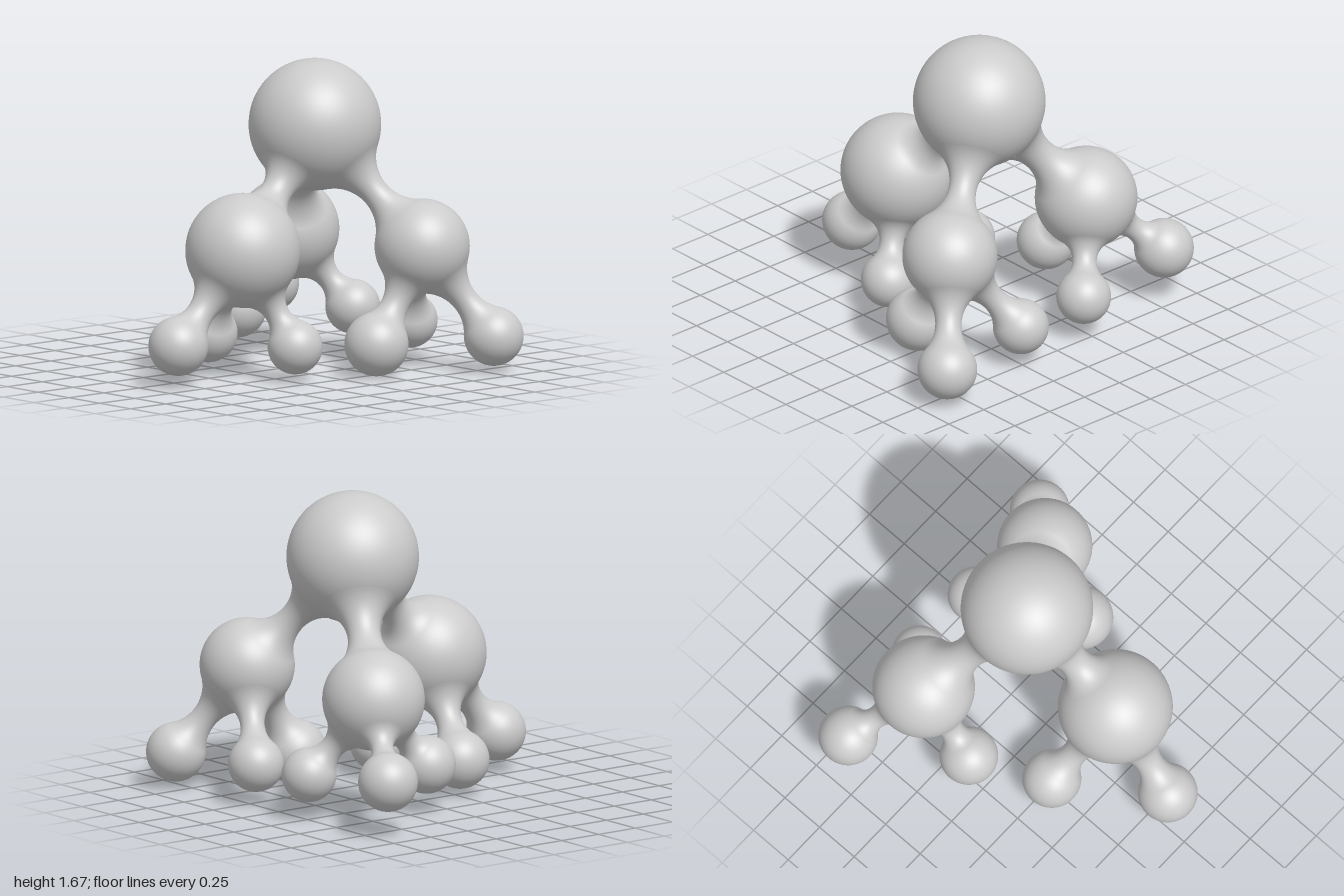
import * as THREE from 'three';

const material = new THREE.MeshStandardMaterial({ color: 0xcccccc });

// Each ball: centre, radius and radius of the neck joining it to its parent.
const tree = {
  at: [0.195, 1.315, 0.065], r: 0.355,
  children: [
    { at: [-0.38, 0.70, 0.135], r: 0.308, neck: 0.085, children: [
      { at: [-0.80, 0.22, 0.09], r: 0.16, neck: 0.075 },
      { at: [-0.28, 0.195, -0.26], r: 0.158, neck: 0.07 },
      { at: [-0.205, 0.185, 0.36], r: 0.147, neck: 0.065 },
    ] },
    { at: [0.52, 0.68, 0.565], r: 0.255, neck: 0.075, children: [
      { at: [0.797, 0.195, 0.83], r: 0.16, neck: 0.07 },
      { at: [0.72, 0.22, 0.235], r: 0.15, neck: 0.065 },
      { at: [0.225, 0.175, 0.53], r: 0.172, neck: 0.075 },
    ] },
    { at: [0.465, 0.66, -0.46], r: 0.275, neck: 0.09, children: [
      { at: [0.665, 0.30, -0.84], r: 0.16, neck: 0.06 },
      { at: [0.12, 0.26, -0.48], r: 0.157, neck: 0.065 },
      { at: [0.715, 0.24, -0.22], r: 0.147, neck: 0.065 },
    ] },
  ],
};
const names = ['topBall', 'middleBall', 'lowerBall'];

// Waisted neck whose concave arc is tangent to both balls.
function createNeck(a, ra, b, rb, n) {
  const axis = b.clone().sub(a);
  const d = axis.length();
  const reach = (r, rho) => Math.sqrt((r - n) * (r + n + 2 * rho));
  let lo = 0, hi = 5;
  for (let i = 0; i < 50; i++) {
    const mid = (lo + hi) / 2;
    if (reach(ra, mid) + reach(rb, mid) < d) lo = mid; else hi = mid;
  }
  const rho = lo, t = reach(ra, rho), h = n + rho;
  const start = Math.atan2(-h, -t), end = Math.atan2(-h, d - t);
  const profile = [];
  for (let i = 0; i <= 24; i++) {
    const angle = THREE.MathUtils.lerp(start, end, i / 24);
    profile.push(new THREE.Vector2(h + rho * Math.sin(angle), t + rho * Math.cos(angle)));
  }
  const neck = new THREE.Mesh(new THREE.LatheGeometry(profile, 48), material);
  neck.name = 'neck';
  neck.position.copy(a);
  neck.quaternion.setFromUnitVectors(new THREE.Vector3(0, 1, 0), axis.normalize());
  return neck;
}

export function createModel() {
  const model = new THREE.Group();
  model.name = 'branchingBalls';

  // Balls, and the necks down to their children
  function addBall(node, level) {
    const centre = new THREE.Vector3(...node.at);
    const ball = new THREE.Mesh(new THREE.SphereGeometry(node.r, 64, 40), material);
    ball.name = names[level];
    ball.position.copy(centre);
    model.add(ball);
    for (const child of node.children ?? []) {
      model.add(createNeck(centre, node.r, new THREE.Vector3(...child.at), child.r, child.neck));
      addBall(child, level + 1);
    }
  }
  addBall(tree, 0);
  return model;
}
